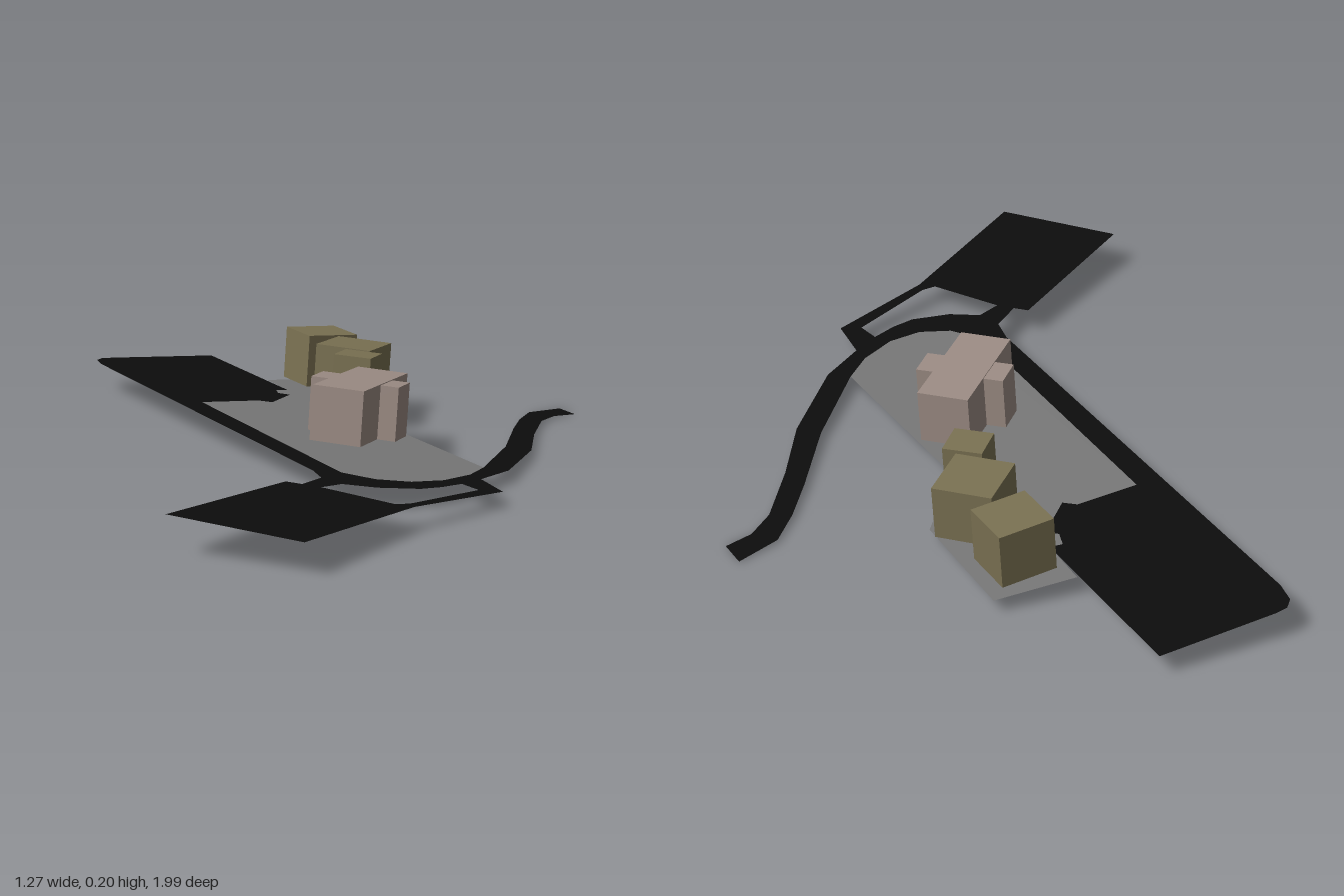
import * as THREE from 'three';

const mat = (color, side = THREE.FrontSide) => new THREE.MeshStandardMaterial({ color, side });

// flat sheet from [x, z] outlines, lying in the ground plane and facing up
function sheet(name, outline, color, hole) {
  const points = list => list.map(([x, z]) => new THREE.Vector2(x, -z));
  const shape = new THREE.Shape(points(outline));
  if (hole) shape.holes.push(new THREE.Path(points(hole)));
  const mesh = new THREE.Mesh(new THREE.ShapeGeometry(shape).rotateX(-Math.PI / 2), mat(color, THREE.DoubleSide));
  mesh.name = name;
  return mesh;
}

// block hovering slightly over the ground
function block(name, [x, z, width, depth, turn], color, height = 0.13) {
  const mesh = new THREE.Mesh(new THREE.BoxGeometry(width, height, depth), mat(color));
  mesh.position.set(x, 0.015 + height / 2, z);
  mesh.rotation.y = turn;
  mesh.name = name;
  return mesh;
}

export function createModel() {
  const model = new THREE.Group();
  model.name = 'sitePlan';

  // the whole site slopes gently down towards +x
  const site = new THREE.Group();
  site.name = 'slopedSite';
  site.position.y = 0.043;
  site.rotation.z = -0.0684;
  model.add(site);

  // edges shared by the paving and the asphalt
  const bend = [[0.19, 0.33], [0.135, 0.40], [0.055, 0.455], [-0.025, 0.47], [-0.10, 0.445], [-0.16, 0.38]];
  const notch = [[-0.30, -0.38], [-0.15, -0.405], [-0.12, -0.385], [-0.05, -0.48], [-0.075, -0.50], [-0.07, -0.54], [-0.04, -0.54]];

  // paved yard
  site.add(sheet('pavedYard', [
    [-0.06, -0.67], [0.135, -0.685], [0.19, -0.375], [0.08, -0.18], ...bend, ...notch,
  ], 0x777777));

  // roads and car parks in one sheet, with an open island by the lower car park
  const upperPark = [[-0.13, -1.0], [-0.41, -0.95], [-0.44, -0.94], [-0.457, -0.915], [-0.457, -0.86]];
  const lowerPark = [
    [-0.22, 0.36], [-0.22, 0.43], [-0.28, 0.49], [-0.31, 0.465], [-0.64, 0.755],
    [-0.41, 0.99], [-0.09, 0.70], [0.155, 0.565], [0.145, 0.445],
  ];
  const accessRoad = [
    [0.24, 0.36], [0.37, 0.15], [0.44, -0.025], [0.515, -0.18], [0.57, -0.24], [0.635, -0.265],
    [0.62, -0.335], [0.52, -0.285], [0.465, -0.20], [0.41, -0.09], [0.32, 0.11],
  ];
  const island = [
    [-0.245, 0.52], [-0.19, 0.49], [-0.12, 0.525], [-0.025, 0.537], [0.03, 0.52],
    [0.085, 0.49], [0.105, 0.548], [-0.09, 0.67], [-0.125, 0.675],
  ];
  site.add(sheet('asphalt', [...upperPark, ...lowerPark, ...accessRoad, ...bend, ...notch], 0x0c0c0c, island));

  // row of three olive buildings: x, z, width, depth, turn
  [
    [0.055, -0.59, 0.135, 0.13, 0.2],
    [0.09, -0.415, 0.143, 0.145, -0.67],
    [0.06, -0.275, 0.095, 0.087, -0.62],
  ].forEach((b, i) => site.add(block(`oliveBuilding${i + 1}`, b, 0x7a7152)));

  // cross-shaped building
  const cross = new THREE.Group();
  cross.name = 'crossBuilding';
  cross.add(block('mainWing', [-0.025, 0.04, 0.126, 0.283, -0.66], 0x9c8c84));
  cross.add(block('crossWing', [-0.025, 0.037, 0.217, 0.077, -0.64], 0x9c8c84, 0.128));
  site.add(cross);

  return model;
}
